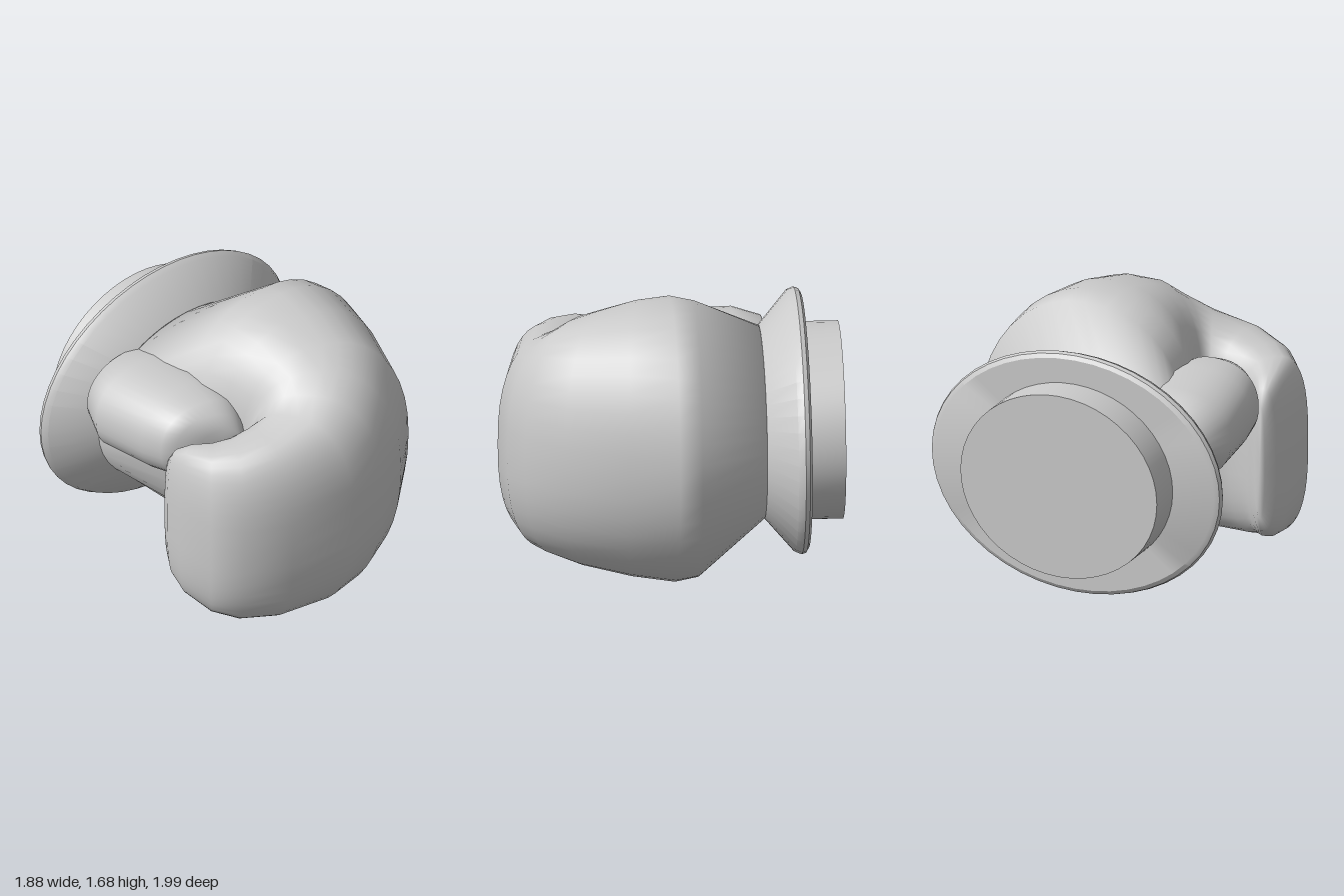
import * as THREE from 'three';
import { toCreasedNormals } from 'three/addons/utils/BufferGeometryUtils.js';

const material = new THREE.MeshStandardMaterial({ color: 0xcccccc });

// Skin of rounded cross-sections: [outer x, outer z, inner x, inner z, bottom y, top y, outer power, inner power]
function loft(sections, sides = 40) {
  const pos = [], index = [];
  const bend = (v, power) => Math.sign(v) * Math.abs(v) ** (2 / power);
  for (const [ox, oz, ix, iz, y0, y1, outerPower, innerPower] of sections) {
    for (let j = 0; j < sides; j++) {
      const a = (j / sides) * Math.PI * 2;
      const power = Math.cos(a) > 0 ? outerPower : innerPower;
      const c = bend(Math.cos(a), power), s = bend(Math.sin(a), power);
      pos.push((ox + ix) / 2 + (c * (ox - ix)) / 2, (y0 + y1) / 2 + (s * (y1 - y0)) / 2, (oz + iz) / 2 + (c * (oz - iz)) / 2);
    }
  }
  for (let i = 0; i < sections.length - 1; i++) {
    for (let j = 0; j < sides; j++) {
      const a = i * sides + j, b = i * sides + ((j + 1) % sides);
      index.push(a, b, a + sides, b, b + sides, a + sides);
    }
  }
  // End caps
  const centre = ([ox, oz, ix, iz, y0, y1]) => pos.push((ox + ix) / 2, (y0 + y1) / 2, (oz + iz) / 2) / 3 - 1;
  const first = centre(sections[0]), last = centre(sections[sections.length - 1]);
  const base = (sections.length - 1) * sides;
  for (let j = 0; j < sides; j++) {
    const k = (j + 1) % sides;
    index.push(first, k, j, last, base + j, base + k);
  }
  const geometry = new THREE.BufferGeometry();
  geometry.setAttribute('position', new THREE.Float32BufferAttribute(pos, 3));
  geometry.setIndex(index);
  geometry.computeVertexNormals();
  return geometry;
}

// Oval turned part along the wrist axis: profile points are [radius, z]
function turned(profile, heightRatio) {
  const points = profile.map(([r, z]) => new THREE.Vector2(r, -z));
  const geometry = new THREE.LatheGeometry(points, 48);
  geometry.rotateX(-Math.PI / 2);
  geometry.scale(1, heightRatio, 1);
  geometry.translate(0, 0.845, 0);
  return toCreasedNormals(geometry, 0.5);
}

export function createModel() {
  const group = new THREE.Group();
  const add = (name, geometry) => {
    const mesh = new THREE.Mesh(geometry, material);
    mesh.name = name;
    group.add(mesh);
  };

  // Padded hand, from the wrist round the knuckles to the curled fingertips
  add('fist', loft([
    [0.68, -0.54, -0.68, -0.54, 0.3, 1.38, 2, 2],
    [0.93, -0.15, -0.42, -0.15, 0.03, 1.65, 2, 2.4],
    [0.93, -0.02, -0.42, 0.0, 0.0, 1.68, 2, 2.5],
    [0.83, 0.28, -0.36, 0.15, 0.03, 1.66, 2.1, 2.5],
    [0.68, 0.64, -0.31, 0.27, 0.08, 1.6, 2.2, 2.5],
    [0.43, 0.86, -0.3, 0.31, 0.09, 1.53, 2.3, 2.6],
    [0.22, 0.95, -0.31, 0.32, 0.08, 1.44, 2.4, 2.7],
    [-0.04, 0.99, -0.33, 0.33, 0.08, 1.36, 2.5, 2.8],
    [-0.45, 0.92, -0.38, 0.34, 0.09, 1.32, 2.6, 3],
    [-0.7, 0.78, -0.45, 0.33, 0.11, 1.28, 2.7, 3],
    [-0.82, 0.62, -0.53, 0.3, 0.15, 1.25, 2.8, 3],
    [-0.83, 0.35, -0.6, 0.26, 0.19, 1.21, 2.8, 3],
    [-0.81, 0.22, -0.65, 0.2, 0.26, 1.15, 2.6, 2.6],
    [-0.77, 0.15, -0.7, 0.16, 0.36, 1.06, 2.4, 2.4],
  ]));

  // Thumb lying along the palm, with its tip slanting in to the fingers
  add('thumb', loft([
    [-0.2, -0.6, -0.62, -0.6, 0.9, 1.22, 2, 2],
    [-0.15, -0.57, -0.74, -0.57, 0.83, 1.29, 2.2, 2.2],
    [-0.1, -0.4, -0.82, -0.4, 0.78, 1.33, 2.3, 2.3],
    [-0.12, -0.05, -0.78, -0.05, 0.8, 1.33, 2.3, 2.3],
    [-0.2, 0.18, -0.755, 0.1, 0.84, 1.32, 2.3, 2.3],
    [-0.28, 0.29, -0.7, 0.17, 0.9, 1.28, 2.2, 2.2],
    [-0.33, 0.34, -0.58, 0.23, 0.99, 1.19, 2, 2],
  ]));

  // Flared cuff
  add('cuff', turned([
    [0, -0.53], [0.68, -0.54], [0.92, -0.71], [0.94, -0.75], [0.93, -0.775], [0.9, -0.79], [0, -0.79],
  ].map(([r, z]) => [r, z]), 0.793));

  // Plain plug behind the cuff
  add('plug', turned([[0.635, -0.78], [0.635, -1], [0, -1]], 0.89));

  return group;
}
